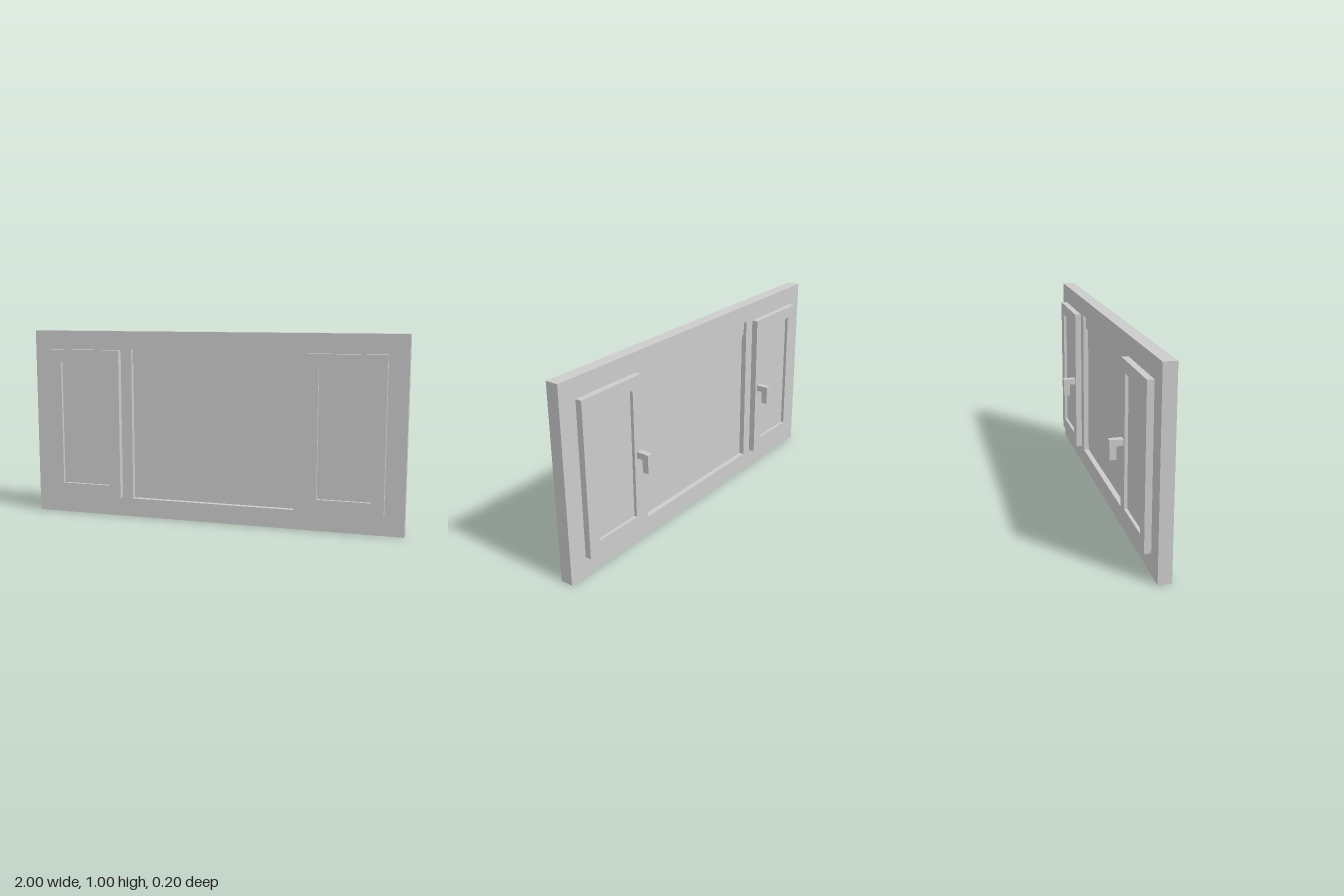
import * as THREE from 'three';

const material = new THREE.MeshStandardMaterial({ color: 0xcccccc, flatShading: true });

function add(parent, name, geometry) {
  const mesh = new THREE.Mesh(geometry, material);
  mesh.name = name;
  parent.add(mesh);
  return mesh;
}

// Box given by its lower and upper limits on each axis
function box(x0, x1, y0, y1, z0, z1) {
  return new THREE.BoxGeometry(x1 - x0, y1 - y0, z1 - z0)
    .translate((x0 + x1) / 2, (y0 + y1) / 2, (z0 + z1) / 2);
}

function trace(path, [x0, x1, y0, y1]) {
  path.moveTo(x0, y0);
  path.lineTo(x1, y0);
  path.lineTo(x1, y1);
  path.lineTo(x0, y1);
  path.closePath();
  return path;
}

// Rectangular slab with rectangular openings
function frame(outer, holes, z0, z1) {
  const shape = trace(new THREE.Shape(), outer);
  shape.holes = holes.map((hole) => trace(new THREE.Path(), hole));
  return new THREE.ExtrudeGeometry(shape, { depth: z1 - z0, bevelEnabled: false })
    .translate(0, 0, z0);
}

export function createModel() {
  const model = new THREE.Group();
  model.name = 'window';

  // Outer frame with a wide middle opening and two side openings
  add(model, 'outerFrame', frame(
    [-1, 1, 0, 1],
    [[-0.44, 0.44, 0.1, 0.907], [-0.9, -0.5, 0.103, 0.9], [0.5, 0.9, 0.103, 0.9]],
    0, 0.066,
  ));

  // Fixed middle pane and the rail across its top
  add(model, 'middlePane', box(-0.44, 0.44, 0.1, 0.83, 0.028, 0.038));
  add(model, 'topRail', box(-0.44, 0.44, 0.83, 0.907, 0.0165, 0.0495));

  // Side sashes with recessed panes and hooked handles on the back
  for (const side of [-1, 1]) {
    const sash = new THREE.Group();
    sash.name = side > 0 ? 'leftSash' : 'rightSash';
    sash.position.x = side * 0.7;
    add(sash, 'sashFrame', frame(
      [-0.2, 0.2, 0.103, 0.9],
      [[-0.135, 0.135, 0.17, 0.837]],
      -0.033, 0.1,
    ));
    add(sash, 'sashPane', box(-0.135, 0.135, 0.17, 0.837, -0.0165, 0.0835));

    const handle = new THREE.Group();
    handle.name = 'handle';
    handle.position.x = -side * 0.168;
    add(handle, 'handleStem', box(-0.0165, 0.0165, 0.484, 0.517, -0.066, -0.033));
    add(handle, 'handleGrip', box(-0.0165, 0.0165, 0.418, 0.517, -0.1, -0.066));
    sash.add(handle);
    model.add(sash);
  }

  return model;
}
